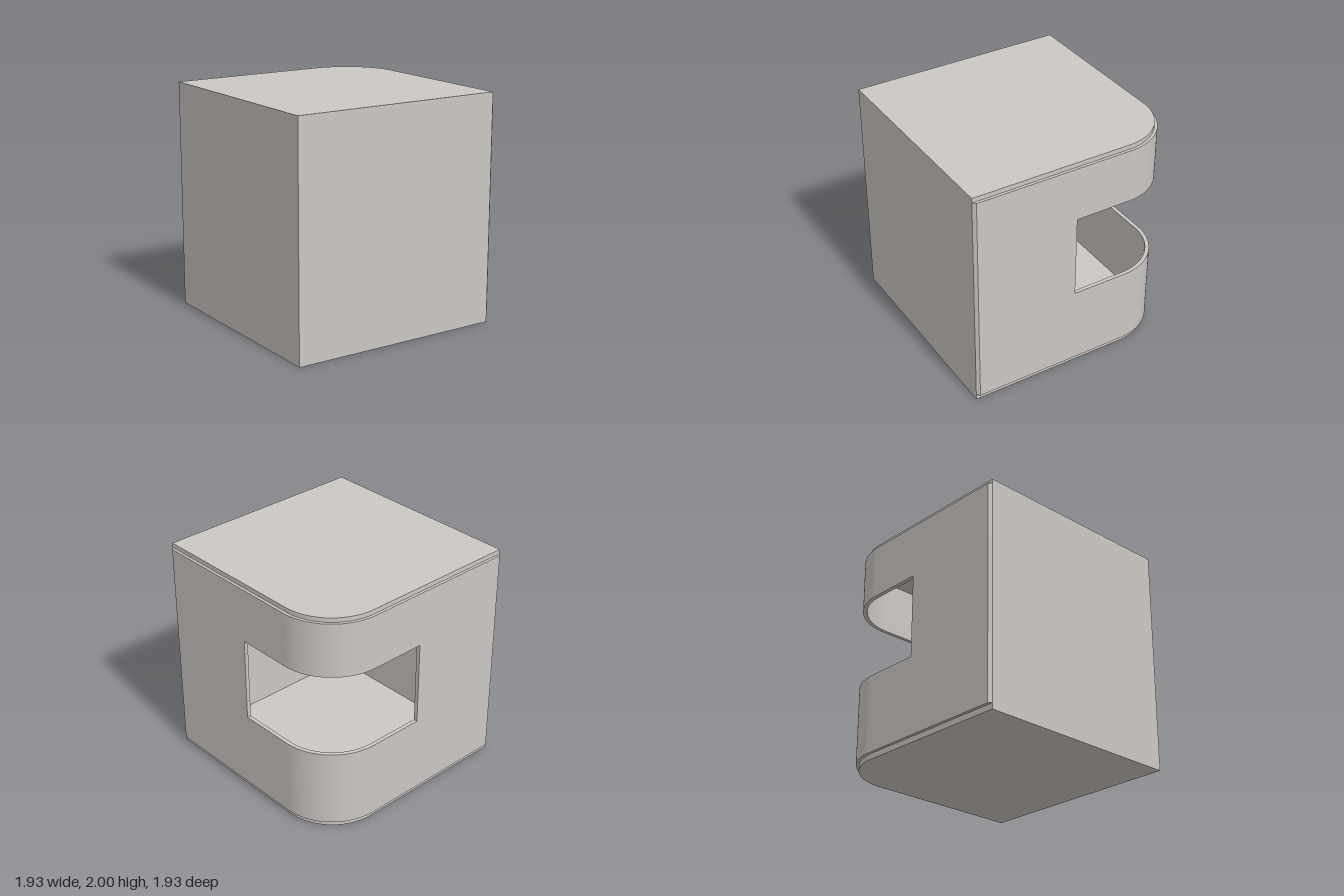
import * as THREE from 'three';
import { toCreasedNormals } from 'three/addons/utils/BufferGeometryUtils.js';

const plaster = new THREE.MeshStandardMaterial({ color: 0xccc7c3 });
plaster.name = 'warm grey plaster';

// Plan drawings use x and b, where b = -z points to the back
const FACE = 0.965, LEDGE = 0.94, INNER = 0.93;
const CENTRE = 0.465;          // centre of the rounded corner, in x and b

// Raise a plan outline from height y0 to y1
function raise(name, shape, y0, y1) {
  const solid = new THREE.ExtrudeGeometry(shape, {
    depth: y1 - y0, bevelEnabled: false, curveSegments: 32,
  });
  solid.rotateX(-Math.PI / 2);
  solid.translate(0, y0, 0);
  const mesh = new THREE.Mesh(toCreasedNormals(solid, 0.5), plaster);
  mesh.name = name;
  return mesh;
}

function polygon(points) {
  return new THREE.Shape(points.map(([x, b]) => new THREE.Vector2(x, b)));
}

// Floor and roof outline with the back corner rounded
function slabPlan() {
  const s = new THREE.Shape();
  s.moveTo(-FACE, -FACE);
  s.lineTo(LEDGE, -FACE);
  s.lineTo(LEDGE, CENTRE);
  s.absarc(CENTRE, CENTRE, LEDGE - CENTRE, 0, Math.PI / 2, false);
  s.lineTo(-FACE, LEDGE);
  s.closePath();
  return s;
}

// Thin wall running along the right side, round the corner and along the back
function bandPlan() {
  const s = new THREE.Shape();
  s.moveTo(INNER, -FACE);
  s.lineTo(LEDGE, -FACE);
  s.lineTo(FACE, -LEDGE);
  s.lineTo(FACE, CENTRE);
  s.absarc(CENTRE, CENTRE, FACE - CENTRE, 0, Math.PI / 2, false);
  s.lineTo(-LEDGE, FACE);
  s.lineTo(-FACE, LEDGE);
  s.lineTo(-FACE, INNER);
  s.lineTo(CENTRE, INNER);
  s.absarc(CENTRE, CENTRE, INNER - CENTRE, Math.PI / 2, 0, true);
  s.closePath();
  return s;
}

export function createModel() {
  const model = new THREE.Group();
  model.name = 'roundedCornerBlock';
  const bottom = 0.05, sill = 0.74, head = 1.48, top = 1.96;

  // Floor and roof
  model.add(raise('floorSlab', slabPlan(), 0, bottom));
  model.add(raise('roofSlab', slabPlan(), top, 2));

  // Curved wall below and above the corner opening
  model.add(raise('lowerCornerWall', bandPlan(), bottom, sill));
  model.add(raise('upperCornerWall', bandPlan(), head, top));

  // Wall pieces on either side of the opening
  const pier = [[INNER, -FACE], [LEDGE, -FACE], [FACE, -LEDGE], [FACE, -0.03], [INNER, -0.03]];
  model.add(raise('rightPier', polygon(pier), sill, head));
  const mirrored = pier.map(([x, b]) => [b, x]).reverse();
  model.add(raise('backPier', polygon(mirrored), sill, head));

  // Plain front and left walls
  const t = 0.025;
  model.add(raise('frontWall', polygon([
    [-FACE, -FACE], [LEDGE, -FACE], [LEDGE, -FACE + t], [-FACE, -FACE + t],
  ]), bottom, top));
  model.add(raise('leftWall', polygon([
    [-FACE, -FACE + t], [-FACE + t, -FACE + t], [-FACE + t, LEDGE], [-FACE, LEDGE],
  ]), bottom, top));

  return model;
}
